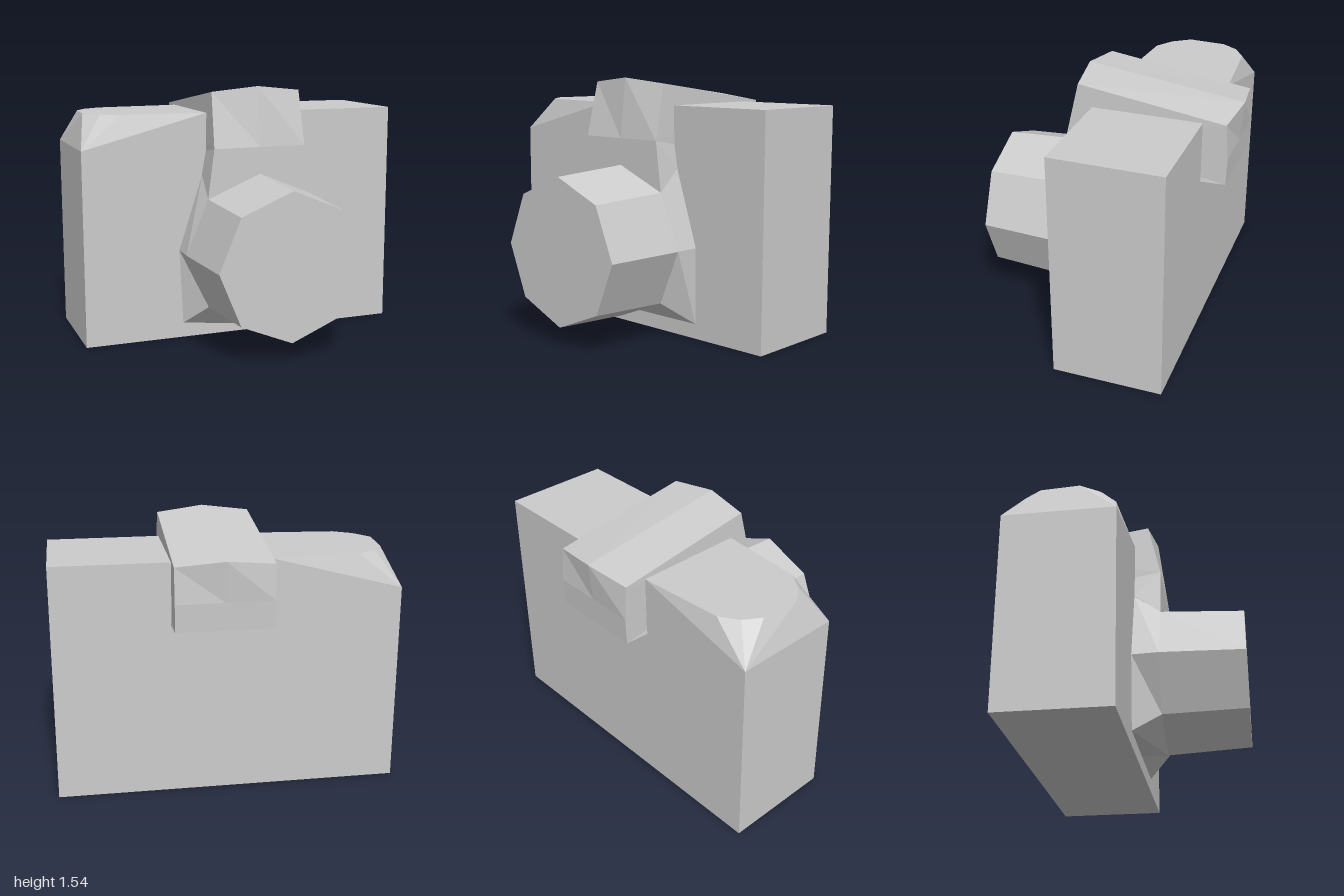
import * as THREE from 'three';
import { ConvexGeometry } from 'three/addons/geometries/ConvexGeometry.js';

const material = new THREE.MeshStandardMaterial({ color: 0xcccccc, flatShading: true });

function addMesh(group, name, geometry) {
  const mesh = new THREE.Mesh(geometry, material);
  mesh.name = name;
  group.add(mesh);
}

// Joins successive cross-sections with quads; caps are triples of ring indices.
function loft(rings, firstCap = [], lastCap = []) {
  const n = rings[0].length;
  const pos = [];
  const tri = (a, b, c) => pos.push(...a, ...b, ...c);
  for (let r = 0; r < rings.length - 1; r++) {
    const a = rings[r], b = rings[r + 1];
    for (let i = 0; i < n; i++) {
      const j = (i + 1) % n;
      tri(a[i], a[j], b[j]);
      tri(a[i], b[j], b[i]);
    }
  }
  const last = rings[rings.length - 1];
  firstCap.forEach(([i, j, k]) => tri(rings[0][i], rings[0][j], rings[0][k]));
  lastCap.forEach(([i, j, k]) => tri(last[i], last[j], last[k]));
  const geometry = new THREE.BufferGeometry();
  geometry.setAttribute('position', new THREE.Float32BufferAttribute(pos, 3));
  geometry.computeVertexNormals();
  return geometry;
}

const CX = 0.047; // centre line of lens and viewfinder

// Box with a faceted, rounded grip shoulder at the -x end
function bodyGeometry() {
  const back = -0.575, front = 0.08, top = 1.38;
  const points = [];
  for (const z of [back, front]) {
    points.push([-1, 0, z], [1, 0, z], [1, top, z], [-1, 1.18, z], [-0.24, top, z]);
  }
  const shoulder = [[-0.75, 0.04], [-0.86, -0.03], [-0.94, -0.14],
    [-0.925, -0.37], [-0.86, -0.47], [-0.75, -0.538]];
  shoulder.forEach(([x, z]) => points.push([x, top, z]));
  return new ConvexGeometry(points.map((p) => new THREE.Vector3(...p)));
}

// Octagonal barrel growing out of a squared-off mount
function lensGeometry() {
  const octagon = (radius, z) => Array.from({ length: 8 }, (_, i) => {
    const t = Math.PI / 2 + (i * Math.PI) / 4;
    return [CX + radius * Math.cos(t), 0.552 + radius * Math.sin(t), z];
  });
  const mount = [[CX, 1.02], [-0.265, 1.01], [-0.415, 0.55], [-0.395, 0.09],
    [CX, 0.088], [0.513, 0.09], [0.51, 0.55], [0.36, 1.01]].map(([x, y]) => [x, y, 0.08]);
  const cap = [1, 2, 3, 4, 5, 6].map((i) => [0, i, i + 1]);
  return loft([mount, octagon(0.467, 0.24), octagon(0.44, 0.74)], [], cap);
}

// Ridged housing running from the lens over the top and down the back
function viewfinderGeometry() {
  // half width, z, y along the outer edge
  const edge = [[0.33, 0.24, 0.882], [0.29, 0.24, 1.18], [0.28, 0.165, 1.51],
    [0.28, -0.71, 1.385], [0.28, -0.725, 1.18], [0.28, -0.72, 1.02], [0.315, 0.08, 1.01]];
  // z, y along the centre ridge
  const ridge = [[0.24, 1.019], [0.24, 1.18], [0.2, 1.54],
    [-0.745, 1.415], [-0.725, 1.18], [-0.72, 1.02], [0.08, 1.01]];
  const side = (s) => edge.map(([w, z, y]) => [CX + s * w, y, z]);
  const cap = [[0, 1, 6], [6, 1, 5], [1, 4, 5], [1, 2, 3], [1, 3, 4]];
  return loft([side(1), ridge.map(([z, y]) => [CX, y, z]), side(-1)],
    cap.map(([a, b, c]) => [a, c, b]), cap);
}

export function createModel() {
  const group = new THREE.Group();
  group.name = 'camera';
  addMesh(group, 'body', bodyGeometry());
  addMesh(group, 'lens', lensGeometry());
  addMesh(group, 'viewfinderHousing', viewfinderGeometry());
  return group;
}
